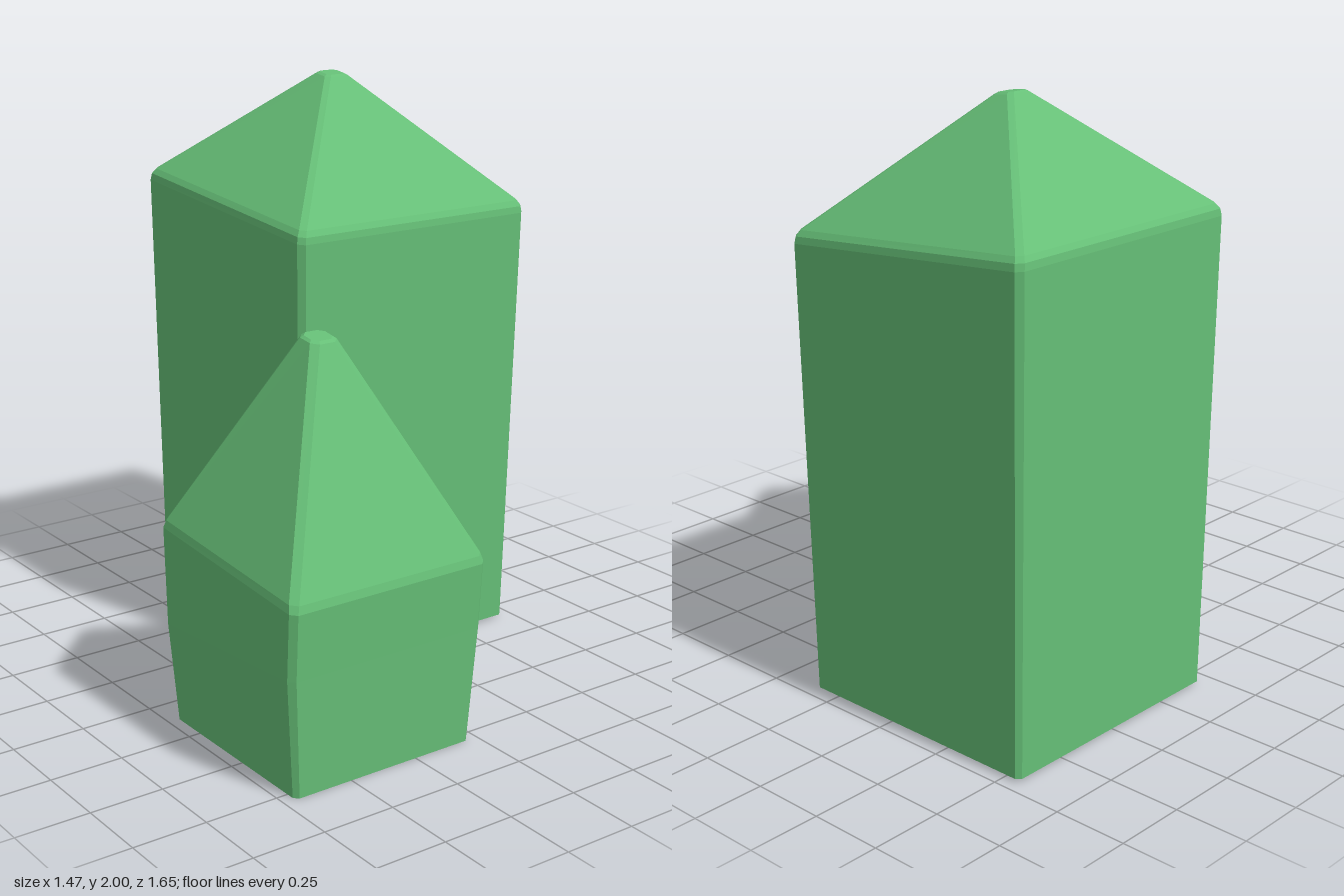
import * as THREE from 'three';

// Square outline with clipped corners; the height slopes from front to back.
function ring({ x: [x0, x1], z: [z0, z1], y: [yBack, yFront], c }) {
  const outline = [
    [x0 + c, z1], [x1 - c, z1], [x1, z1 - c], [x1, z0 + c],
    [x1 - c, z0], [x0 + c, z0], [x0, z0 + c], [x0, z1 - c],
  ];
  return outline.map(([x, z]) => [x, yBack + (yFront - yBack) * (z - z0) / (z1 - z0), z]);
}

// Joins the cross-sections from bottom to top and closes both ends.
function loft(sections) {
  const rings = sections.map(ring);
  const n = rings[0].length;
  const pos = [];
  const tri = (a, b, c) => pos.push(...a, ...b, ...c);
  for (let k = 0; k < rings.length - 1; k++) {
    const lo = rings[k], hi = rings[k + 1];
    for (let i = 0; i < n; i++) {
      const j = (i + 1) % n;
      tri(lo[i], lo[j], hi[j]);
      tri(lo[i], hi[j], hi[i]);
    }
  }
  const base = rings[0], top = rings[rings.length - 1];
  for (let i = 1; i < n - 1; i++) {
    tri(base[0], base[i + 1], base[i]);
    tri(top[0], top[i], top[i + 1]);
  }
  const geometry = new THREE.BufferGeometry();
  geometry.setAttribute('position', new THREE.Float32BufferAttribute(pos, 3));
  geometry.computeVertexNormals();
  return geometry;
}

export function createModel() {
  const group = new THREE.Group();
  const green = new THREE.MeshStandardMaterial({ color: 0x66bf77 });
  green.name = 'crystal green';
  green.flatShading = true;

  const add = (name, sections) => {
    const mesh = new THREE.Mesh(loft(sections), green);
    mesh.name = name;
    group.add(mesh);
  };

  // Tall crystal: nearly straight shaft, bevelled shoulder, low pyramid tip
  add('tallCrystal', [
    { x: [-0.197, 0.707], z: [-0.81, 0.095], y: [0.01, 0.01], c: 0.015 },
    { x: [-0.22, 0.733], z: [-0.825, 0.13], y: [1.605, 1.525], c: 0.02 },
    { x: [-0.216, 0.729], z: [-0.822, 0.127], y: [1.628, 1.548], c: 0.02 },
    { x: [-0.203, 0.716], z: [-0.81, 0.115], y: [1.645, 1.568], c: 0.018 },
    { x: [0.205, 0.3], z: [-0.395, -0.315], y: [1.995, 1.985], c: 0.015 },
    { x: [0.217, 0.289], z: [-0.388, -0.325], y: [2, 1.992], c: 0.012 },
  ]);

  // Short crystal: slightly bulging body and a steep pyramid tip
  add('shortCrystal', [
    { x: [-0.71, -0.032], z: [0.11, 0.793], y: [0, 0], c: 0.015 },
    { x: [-0.737, -0.003], z: [0.093, 0.812], y: [0.34, 0.395], c: 0.02 },
    { x: [-0.738, 0], z: [0.08, 0.825], y: [0.672, 0.612], c: 0.02 },
    { x: [-0.732, -0.006], z: [0.087, 0.818], y: [0.698, 0.638], c: 0.022 },
    { x: [-0.421, -0.32], z: [0.39, 0.487], y: [1.318, 1.305], c: 0.022 },
    { x: [-0.411, -0.33], z: [0.4, 0.475], y: [1.325, 1.313], c: 0.018 },
  ]);

  return group;
}
